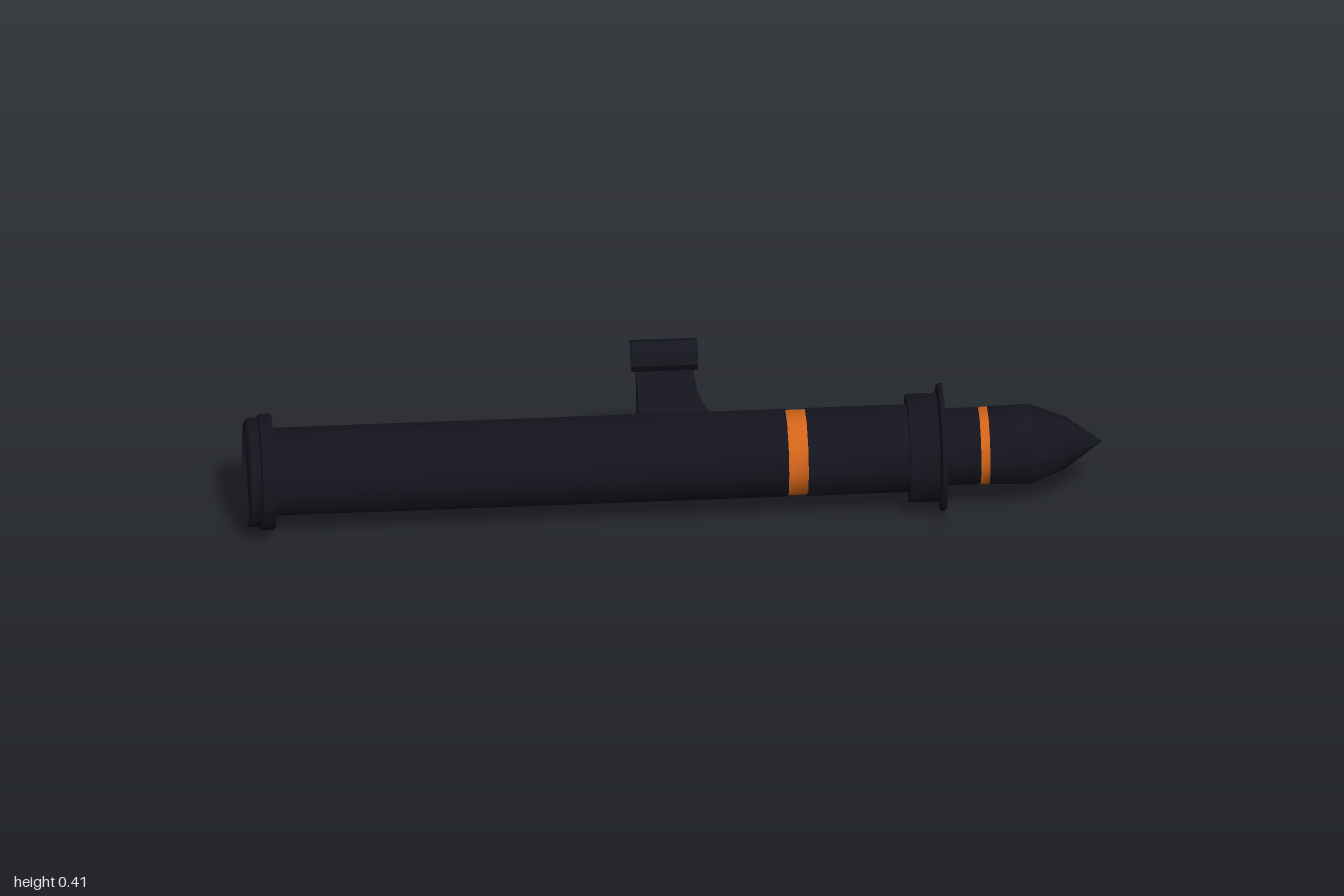
import * as THREE from 'three';
import { toCreasedNormals } from 'three/addons/utils/BufferGeometryUtils.js';

const AXIS_Y = 0.147;
const dark = new THREE.MeshStandardMaterial({ color: 0x14141e });
const darkFlat = new THREE.MeshStandardMaterial({ color: 0x14141e, flatShading: true });
const orange = new THREE.MeshStandardMaterial({ color: 0xd2641a });

// Ten-sided turned part along x; profile is a list of [x, radius]
function turned(name, profile, material = dark) {
  const points = profile.map(([x, r]) => new THREE.Vector2(r, x));
  const geometry = new THREE.LatheGeometry(points, 10);
  geometry.rotateZ(-Math.PI / 2);
  const mesh = new THREE.Mesh(toCreasedNormals(geometry, 0.68), material);
  mesh.position.y = AXIS_Y;
  mesh.name = name;
  return mesh;
}

// Prism along x from an outline of [-z, y]
function prism(name, shape, x0, x1, material) {
  const geometry = new THREE.ExtrudeGeometry(shape, { depth: x1 - x0, bevelEnabled: false });
  geometry.rotateY(Math.PI / 2);
  geometry.translate(x0, 0, 0);
  const mesh = new THREE.Mesh(geometry, material);
  mesh.name = name;
  return mesh;
}

// Bent arm: each row is [inner z, inner y, outer z, outer y, rear x, front x]
function sightBracket() {
  const rows = [
    [-0.03, 0.235, -0.083, 0.195, -0.08, 0.09],
    [-0.06, 0.283, -0.113, 0.245, -0.08, 0.06],
    [-0.093, 0.33, -0.145, 0.293, -0.083, 0.051],
    [-0.105, 0.352, -0.151, 0.342, -0.085, 0.052],
    [-0.12, 0.375, -0.13, 0.387, -0.088, 0.055],
  ];
  const geometry = new THREE.BoxGeometry(1, 4, 1, 1, 4, 1);
  const p = geometry.attributes.position;
  for (let i = 0; i < p.count; i++) {
    const k = Math.round(p.getY(i) + 2);
    const [zi, yi, zo, yo, x0, x1] = rows[k];
    const inner = p.getZ(i) > 0;
    const front = p.getX(i) > 0;
    const chamfer = !inner && (k === 2 || k === 3) ? 0.01 : 0;
    p.setXYZ(i, front ? x1 - chamfer : x0 + chamfer, inner ? yi : yo, inner ? zi : zo);
  }
  geometry.computeVertexNormals();
  const mesh = new THREE.Mesh(geometry, darkFlat);
  mesh.name = 'sightBracket';
  return mesh;
}

export function createModel() {
  const model = new THREE.Group();
  model.name = 'rocketLauncher';

  // Tube, end cap and muzzle
  model.add(
    turned('rearCap', [[-0.99, 0], [-0.99, 0.118], [-1, 0.122], [-0.995, 0.131], [-0.972, 0.131],
      [-0.968, 0.139], [-0.938, 0.139], [-0.938, 0.1]]),
    turned('rearTube', [[-0.95, 0.105], [0.262, 0.105], [0.262, 0.09]]),
    turned('tubeBand', [[0.258, 0.102], [0.312, 0.102]], orange),
    turned('frontTube', [[0.308, 0.09], [0.308, 0.105], [0.56, 0.105]]),
    turned('muzzleCollar', [[0.545, 0.1], [0.545, 0.13], [0.614, 0.13], [0.619, 0.153],
      [0.629, 0.153], [0.629, 0.138], [0.605, 0.108], [0.605, 0.08]]),
  );

  // Warhead
  model.add(
    turned('warheadBase', [[0.59, 0.092], [0.712, 0.092]]),
    turned('warheadBand', [[0.712, 0.092], [0.733, 0.093]], orange),
    turned('warheadNose', [[0.733, 0.093], [0.83, 0.096], [0.915, 0.062], [1, 0]]),
  );

  // Sight: hollow housing with a lens showing at both ends
  const sight = new THREE.Group();
  sight.name = 'sight';
  const outline = [[0.08, 0.414], [0.055, 0.398], [0.045, 0.368], [0.06, 0.345],
    [0.095, 0.332], [0.13, 0.387], [0.105, 0.405]].map(([a, b]) => new THREE.Vector2(a, b));
  const centre = new THREE.Vector2(0.092, 0.372);
  const inset = outline.map((v) => v.clone().sub(centre).multiplyScalar(0.87).add(centre));
  const housing = new THREE.Shape(outline);
  housing.holes.push(new THREE.Path(inset));
  sight.add(
    prism('sightHousing', housing, -0.094, 0.06, darkFlat),
    prism('sightLens', new THREE.Shape(inset), -0.09, 0.056, orange),
    sightBracket(),
  );
  model.add(sight);
  return model;
}
